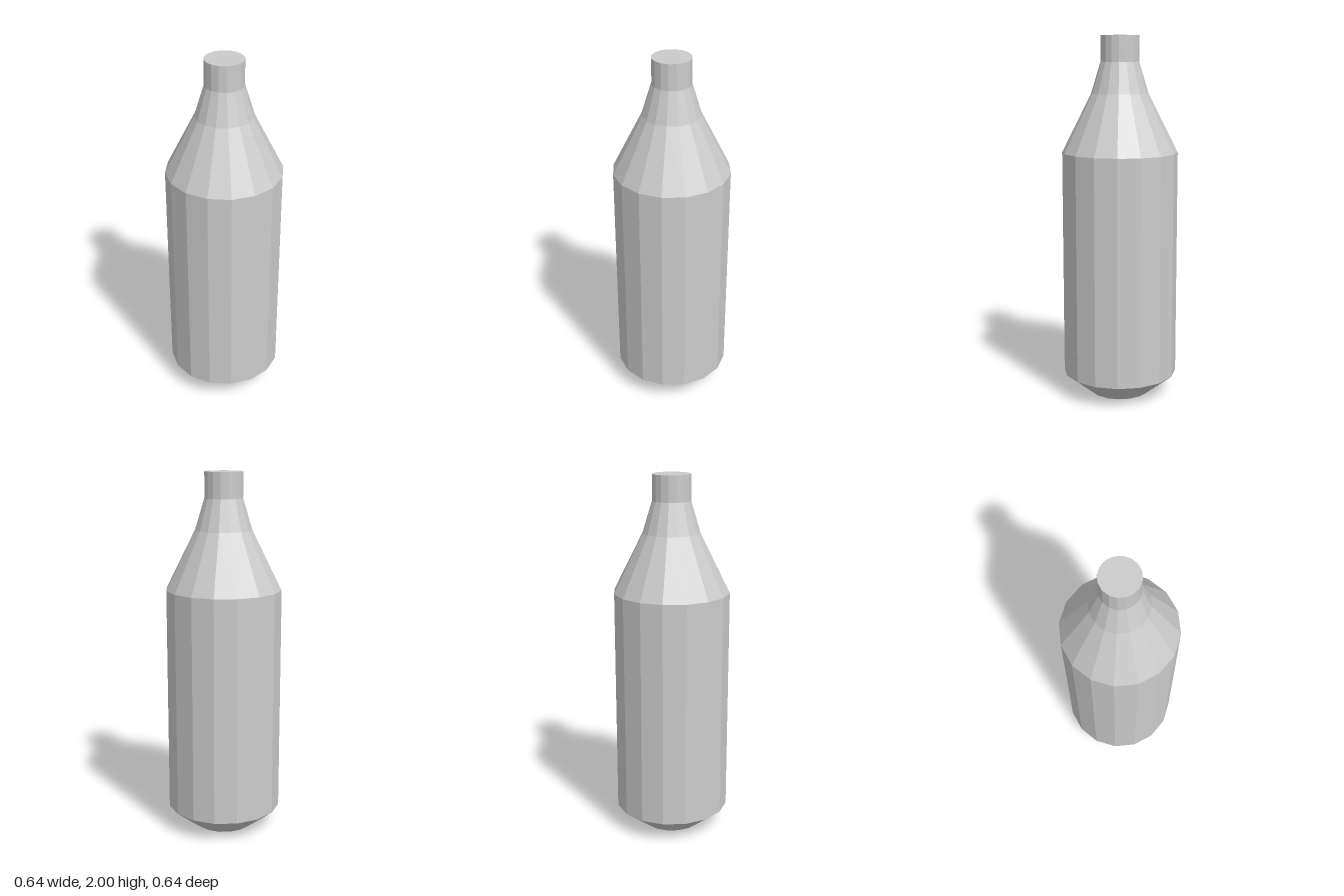
import * as THREE from 'three';

export function createModel() {
  const group = new THREE.Group();
  group.name = 'bottle';
  const material = new THREE.MeshStandardMaterial({ color: 0xcccccc, flatShading: true });

  // Outline from the centre of the base to the centre of the flat top: [radius, height]
  const profile = [
    [0, 0], [0.165, 0],             // flat base
    [0.318, 0.12],                  // tapered foot
    [0.318, 1.37],                  // straight body
    [0.157, 1.69], [0.105, 1.86],   // two-step shoulder
    [0.105, 2], [0, 2],             // neck and closed top
  ].map(([r, y]) => new THREE.Vector2(r, y));

  // Sixteen-sided bottle
  const body = new THREE.Mesh(new THREE.LatheGeometry(profile, 16), material);
  body.name = 'bottleBody';
  group.add(body);
  return group;
}
